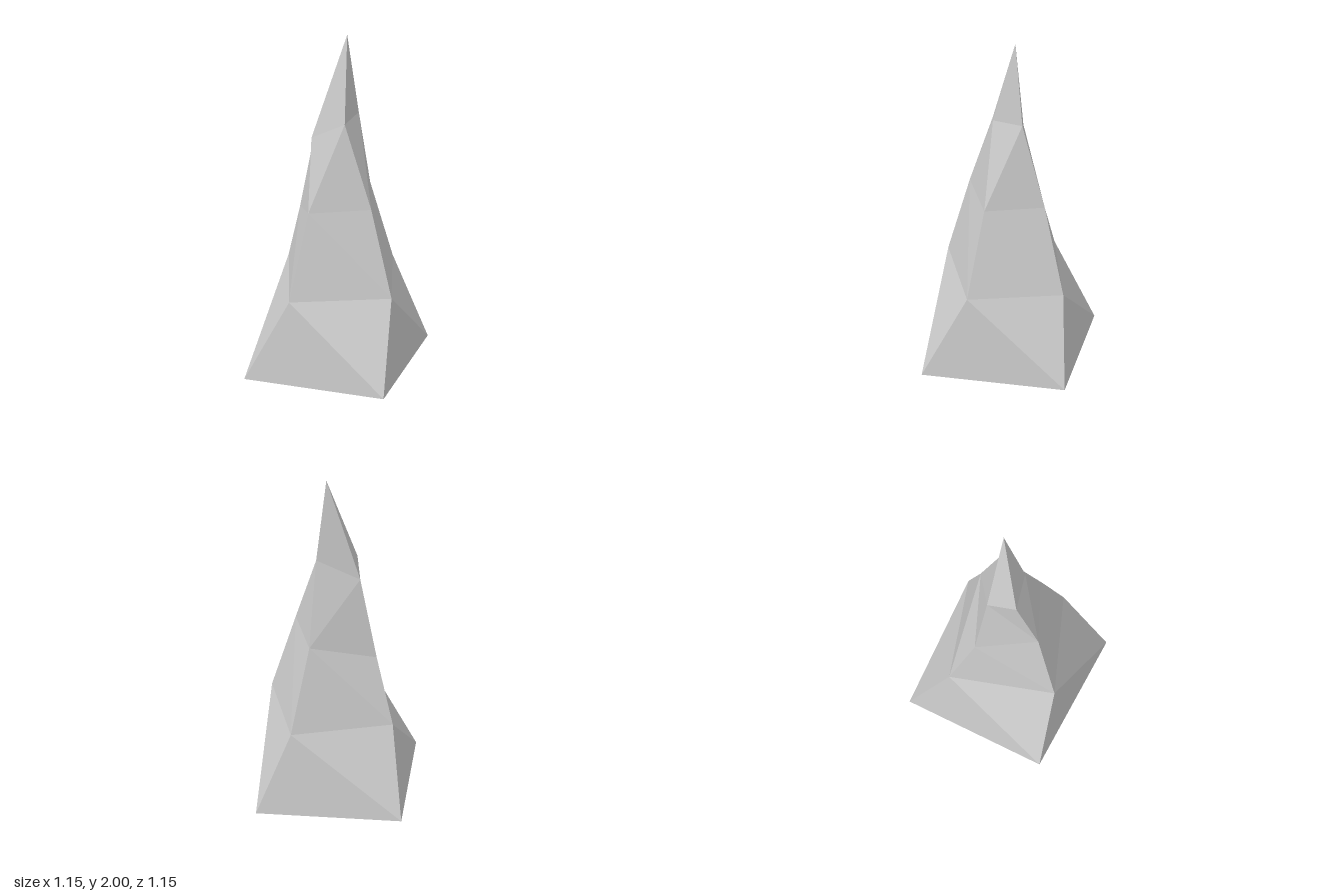
import * as THREE from 'three';

// Four-cornered rings from the ground up; corners run right, front, left, back.
const rings = [
  [[-0.575, 0, -0.033], [-0.033, 0, 0.572], [0.572, 0, 0.03], [0.03, 0, -0.575]],
  [[-0.382, 0.5, 0.13], [0.132, 0.5, 0.38], [0.41, 0.5, -0.08], [-0.082, 0.5, -0.382]],
  [[-0.235, 1, 0.09], [0.09, 1, 0.23], [0.257, 1, -0.065], [-0.095, 0.87, -0.235]],
  [[-0.155, 1.41, 0.01 - 0.02], [-0.005, 1.5, 0.1], [0.142, 1.5, 0.005], [-0.053, 1.36, -0.146]],
];
const apex = [0.07, 2, 0];

export function createModel() {
  const group = new THREE.Group();
  group.name = 'rockSpire';
  const points = [];
  const tri = (a, b, c) => points.push(...a, ...b, ...c);

  // Faceted sides: two triangles per panel
  for (let level = 0; level < rings.length - 1; level++) {
    const low = rings[level], high = rings[level + 1];
    for (let i = 0; i < 4; i++) {
      const j = (i + 1) % 4;
      // The upper panels fold along the other diagonal, except the last one
      if (level === 2 && i < 3) {
        tri(low[i], low[j], high[j]);
        tri(low[i], high[j], high[i]);
      } else {
        tri(low[i], low[j], high[i]);
        tri(low[j], high[j], high[i]);
      }
    }
  }

  // Pointed tip
  const top = rings[rings.length - 1];
  for (let i = 0; i < 4; i++) tri(top[i], top[(i + 1) % 4], apex);

  // Flat underside
  const [w, s, e, n] = rings[0];
  tri(w, e, s);
  tri(w, n, e);

  const geometry = new THREE.BufferGeometry();
  geometry.setAttribute('position', new THREE.Float32BufferAttribute(points, 3));
  geometry.computeVertexNormals();

  const spire = new THREE.Mesh(
    geometry,
    new THREE.MeshStandardMaterial({ color: 0xcccccc, flatShading: true })
  );
  spire.name = 'spire';
  group.add(spire);
  return group;
}
